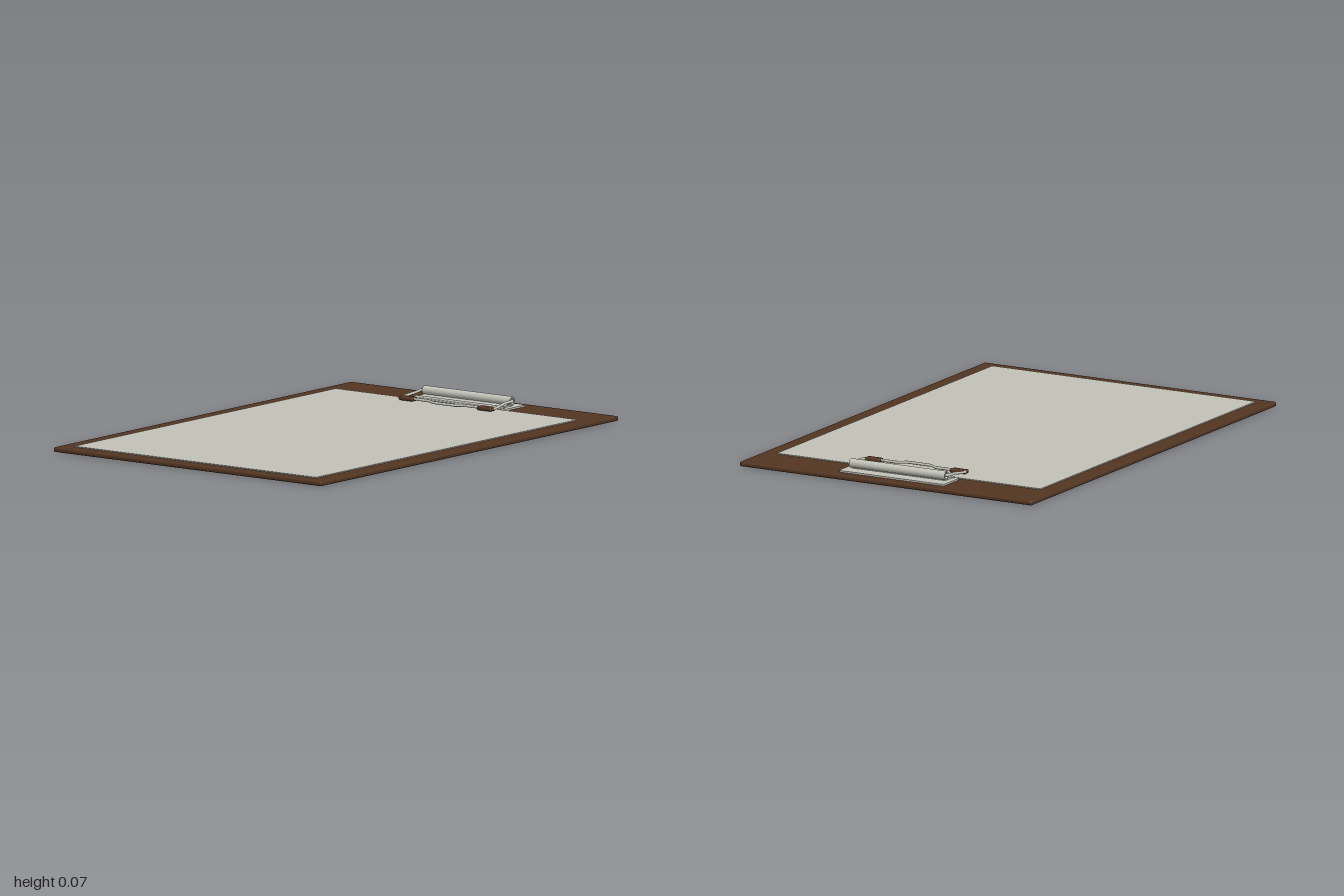
import * as THREE from 'three';
import { RoundedBoxGeometry } from 'three/addons/geometries/RoundedBoxGeometry.js';

const material = (name, color) => {
  const m = new THREE.MeshStandardMaterial({ color });
  m.name = name;
  return m;
};

export function createModel() {
  const group = new THREE.Group();
  const brown = material('brown board', 0x523522);
  const paper = material('paper', 0xc2c1b7);
  const metal = material('clip metal', 0xc4c4ba);

  const add = (name, geometry, mat, x = 0, y = 0, z = 0) => {
    const mesh = new THREE.Mesh(geometry, mat);
    mesh.name = name;
    mesh.position.set(x, y, z);
    group.add(mesh);
    return mesh;
  };

  // Board and sheet
  add('board', new RoundedBoxGeometry(1.376, 0.02, 2, 3, 0.008), brown, 0, 0.01, 0);
  add('paperSheet', new THREE.BoxGeometry(1.24, 0.004, 1.755), paper, 0, 0.022, 0.068);

  // Clip base plate with rounded corners
  const w = 0.247, d = 0.065, r = 0.012;
  const outline = new THREE.Shape();
  outline.moveTo(-w + r, -d).lineTo(w - r, -d).quadraticCurveTo(w, -d, w, -d + r)
    .lineTo(w, d - r).quadraticCurveTo(w, d, w - r, d)
    .lineTo(-w + r, d).quadraticCurveTo(-w, d, -w, d - r)
    .lineTo(-w, -d + r).quadraticCurveTo(-w, -d, -w + r, -d);
  const plate = new THREE.ExtrudeGeometry(outline, { depth: 0.007, bevelEnabled: false });
  plate.rotateX(-Math.PI / 2);
  add('clipPlate', plate, metal, 0, 0.02, -0.888);

  // Rolled hinge: hollow tube with a tongue flowing onto the plate
  const ring = new THREE.Shape();
  ring.absarc(0, 0, 0.0185, 0, Math.PI * 2, false);
  const bore = new THREE.Path();
  bore.absarc(0, 0, 0.013, 0, Math.PI * 2, true);
  ring.holes.push(bore);
  const roll = new THREE.ExtrudeGeometry(ring, { depth: 0.45, bevelEnabled: false, curveSegments: 24 });
  roll.rotateY(Math.PI / 2);
  add('hingeRoll', roll, metal, -0.225, 0.0485, -0.89);
  add('hingeTongue', new THREE.BoxGeometry(0.44, 0.006, 0.06), metal, 0, 0.03, -0.862);
  const bead = new THREE.CylinderGeometry(0.006, 0.006, 0.45, 12);
  bead.rotateZ(Math.PI / 2);
  add('plateLip', bead, metal, 0, 0.029, -0.831);

  // Bent wire bail, one half mirrored to the other
  const half = [
    [0.205, 0.05, -0.89], [0.226, 0.05, -0.888], [0.232, 0.05, -0.875],
    [0.227, 0.046, -0.83], [0.236, 0.039, -0.775], [0.235, 0.036, -0.752],
    [0.222, 0.036, -0.745], [0.09, 0.036, -0.745], [0.055, 0.036, -0.722],
  ].map(p => new THREE.Vector3(...p));
  const mirrored = half.map(p => new THREE.Vector3(-p.x, p.y, p.z)).reverse();
  const points = [...half, ...mirrored];
  const path = new THREE.CurvePath();
  points.slice(1).forEach((p, i) => path.add(new THREE.LineCurve3(points[i], p)));
  add('wireBail', new THREE.TubeGeometry(path, 240, 0.006, 8), metal);

  // Grip sleeves on the wire
  for (const side of [-1, 1]) {
    add(side > 0 ? 'leftGrip' : 'rightGrip',
      new RoundedBoxGeometry(0.073, 0.016, 0.038, 3, 0.007), brown, side * 0.201, 0.035, -0.745);
  }
  return group;
}
